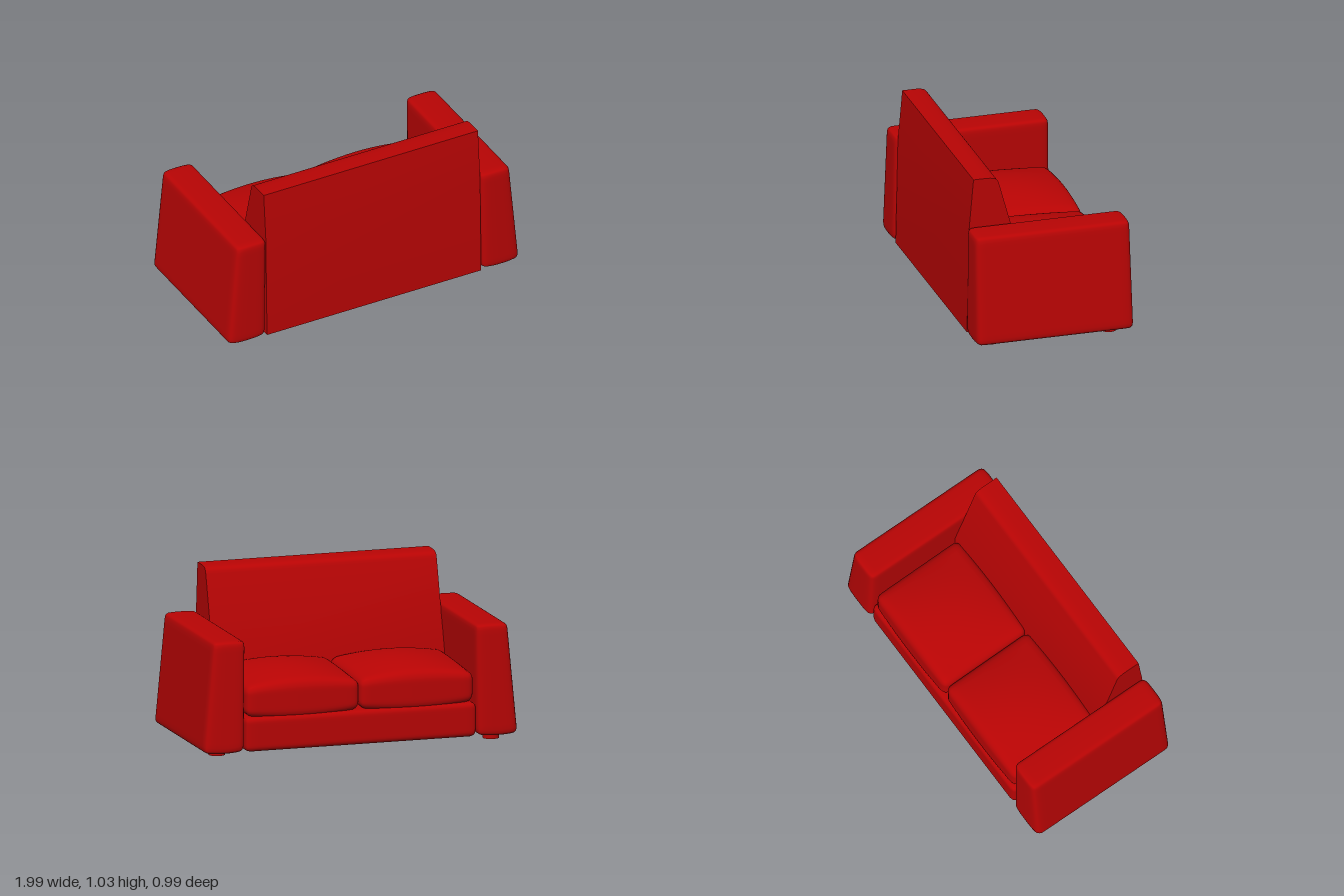
import * as THREE from 'three';
import { mergeVertices, toCreasedNormals } from 'three/addons/utils/BufferGeometryUtils.js';

const fabric = new THREE.MeshStandardMaterial({ color: 0xb90404 });

// Rounded box whose points can afterwards be reshaped by warp(p)
function softBox(w, h, d, r, warp) {
  const n = 20;
  const box = new THREE.BoxGeometry(2, 2, 2, n, n, n);
  box.deleteAttribute('uv');
  box.deleteAttribute('normal');
  const geo = mergeVertices(box);
  const pos = geo.attributes.position;
  const half = new THREE.Vector3(w / 2, h / 2, d / 2);
  const core = half.clone().subScalar(r);
  const low = core.clone().negate();
  const p = new THREE.Vector3(), inner = new THREE.Vector3();
  const ease = (t) => Math.sin((t * Math.PI) / 2); // closer spacing near the edges
  for (let i = 0; i < pos.count; i++) {
    p.fromBufferAttribute(pos, i);
    p.set(ease(p.x), ease(p.y), ease(p.z)).multiply(half);
    inner.copy(p).clamp(low, core);
    p.sub(inner).setLength(r).add(inner);
    if (warp) warp(p, half);
    pos.setXYZ(i, p.x, p.y, p.z);
  }
  geo.computeVertexNormals();
  return geo;
}

function addPart(parent, name, geo, x = 0, y = 0, z = 0) {
  const mesh = new THREE.Mesh(geo, fabric);
  mesh.name = name;
  mesh.position.set(x, y, z);
  parent.add(mesh);
}

export function createModel() {
  const sofa = new THREE.Group();
  sofa.name = 'sofa';
  const width = 1.47;

  // Base under the seat, running back into the backrest
  addPart(sofa, 'base', softBox(width, 0.214, 0.95, 0.035), 0, 0.143, -0.013);

  // Backrest: leaning wedge profile (z, y) swept across the width
  const profile = new THREE.Shape();
  profile.moveTo(0.485, 0.036);
  profile.lineTo(0.47, 0.72);
  profile.lineTo(0.443, 1.028);
  profile.lineTo(0.36, 1.028);
  profile.quadraticCurveTo(0.325, 1.026, 0.308, 1.02);
  profile.quadraticCurveTo(0.289, 1.012, 0.282, 0.985);
  profile.lineTo(0.135, 0.45);
  profile.lineTo(0.135, 0.2);
  profile.lineTo(0.42, 0.2);
  profile.lineTo(0.42, 0.036);
  profile.closePath();
  let back = new THREE.ExtrudeGeometry(profile, { depth: width, bevelEnabled: false, curveSegments: 8 });
  back.rotateY(-Math.PI / 2); // shape x -> z, depth -> -x
  back.translate(width / 2, 0, 0);
  back = toCreasedNormals(back, 0.6);
  addPart(sofa, 'backrest', back);

  for (const [side, label] of [[1, 'left'], [-1, 'right']]) {
    // Armrest: outer face leans inwards, ends and underside bulge gently
    const arm = softBox(0.265, 0.69, 0.995, 0.032, (p, half) => {
      const up = p.y / (2 * half.y) + 0.5;
      const across = (side * p.x) / (2 * half.x) + 0.5; // 0 inner, 1 outer
      const edge = Math.pow(2 * across - 1, 2);
      p.x -= side * up * (0.062 * across + 0.008 * (1 - across));
      p.x += side * 0.006 * (1 - across);
      p.z *= 1 - 0.018 * up - 0.025 * edge * edge;
      p.y += 0.01 * (1 - up) * edge - 0.004 * up * edge;
    });
    addPart(sofa, label + 'Armrest', arm, side * 0.8675, 0.381, 0);

    // Seat cushion: domed on top, sagging below, a little higher at the backrest
    const cushion = softBox(0.724, 0.18, 0.615, 0.045, (p, half) => {
      const u = p.x / half.x, v = p.z / half.z;
      const arch = 1 - u * u;
      p.y *= 1 + (p.y > 0 ? 0.75 * arch * (1 - 0.6 * v * v) : 0.3 * arch);
      p.y += 0.012 * v;
      p.z += 0.008 * v * arch;
    });
    addPart(sofa, label + 'Cushion', cushion, side * 0.363, 0.352, -0.162);

    // Short round feet
    for (const [z, bottom] of [[0.375, 0.01], [-0.365, 0]]) {
      const low = bottom + (side > 0 ? 0.012 : 0);
      const height = 0.08 - low;
      addPart(sofa, label + 'Foot', new THREE.CylinderGeometry(0.05, 0.05, height, 24),
        side * 0.872 + 0.008, low + height / 2, z);
    }
  }
  return sofa;
}
